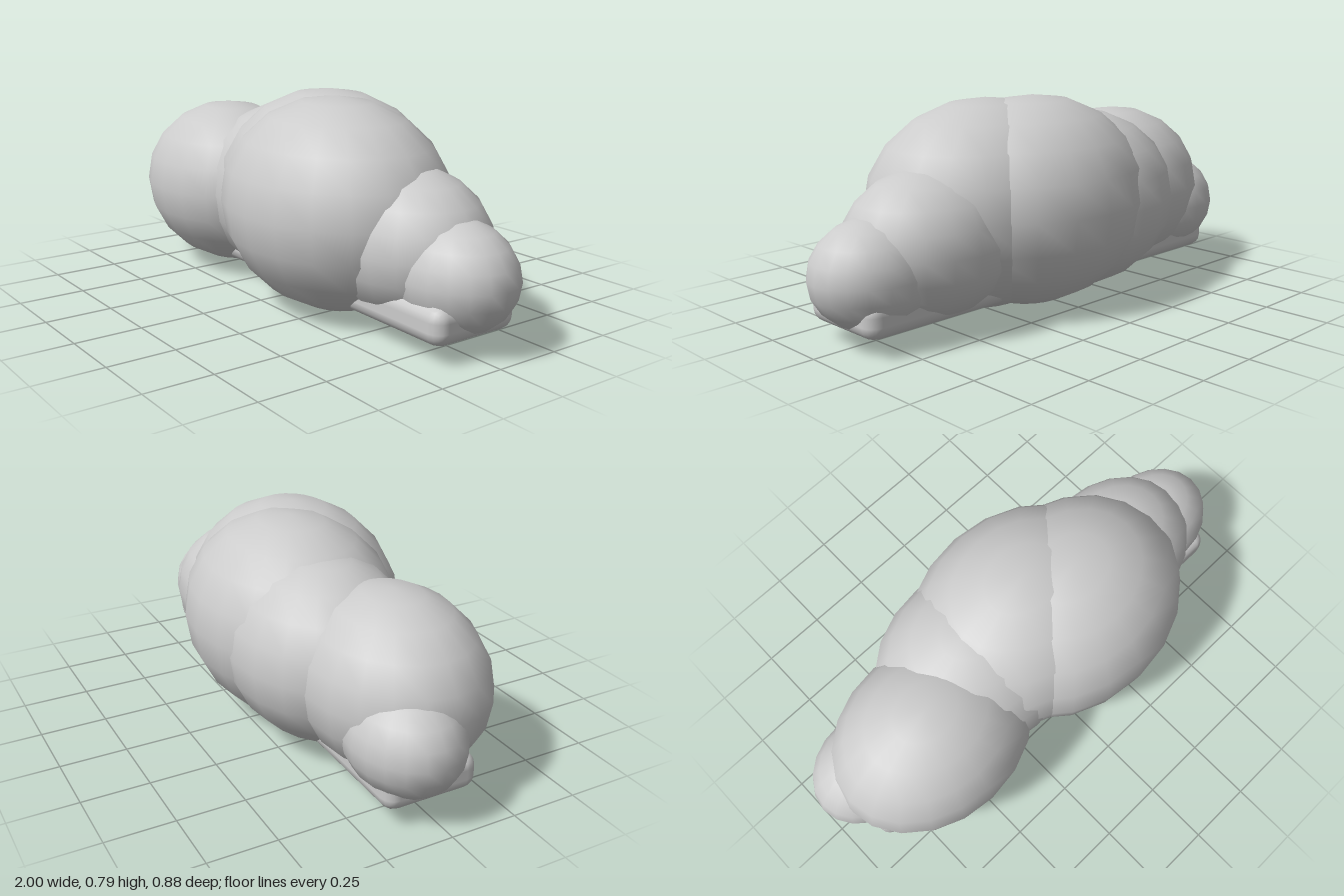
import * as THREE from 'three';
import { RoundedBoxGeometry } from 'three/addons/geometries/RoundedBoxGeometry.js';

export function createModel() {
  const group = new THREE.Group();
  group.name = 'cloud';
  const material = new THREE.MeshStandardMaterial({ color: 0xcccccc });
  const stretch = 1.24; // every puff is wider than it is tall

  // Overlapping puffs: name, centre x, y, z, radius
  const puffs = [
    ['frontCentrePuff', 0.195, 0.394, 0.045, 0.392],
    ['backCentrePuff', 0.04, 0.396, -0.045, 0.394],
    ['innerRightPuff', -0.195, 0.366, -0.05, 0.348],
    ['frontRightPuff', -0.52, 0.355, 0.05, 0.33],
    ['rightEndPuff', -0.752, 0.265, -0.04, 0.2],
    ['leftPuff', 0.52, 0.311, -0.02, 0.272],
    ['leftEndPuff', 0.756, 0.25, -0.02, 0.197],
  ];
  const ball = new THREE.SphereGeometry(1, 20, 10);
  for (const [name, x, y, z, r] of puffs) {
    const puff = new THREE.Mesh(ball, material);
    puff.name = name;
    puff.position.set(x, y, z);
    puff.scale.set(r * stretch, r, r);
    group.add(puff);
  }

  // Flat rounded slab under the puffs
  const base = new THREE.Mesh(new RoundedBoxGeometry(1.79, 0.135, 0.36, 2, 0.05), material);
  base.name = 'base';
  base.position.set(0.005, 0.133, 0);
  group.add(base);

  return group;
}
